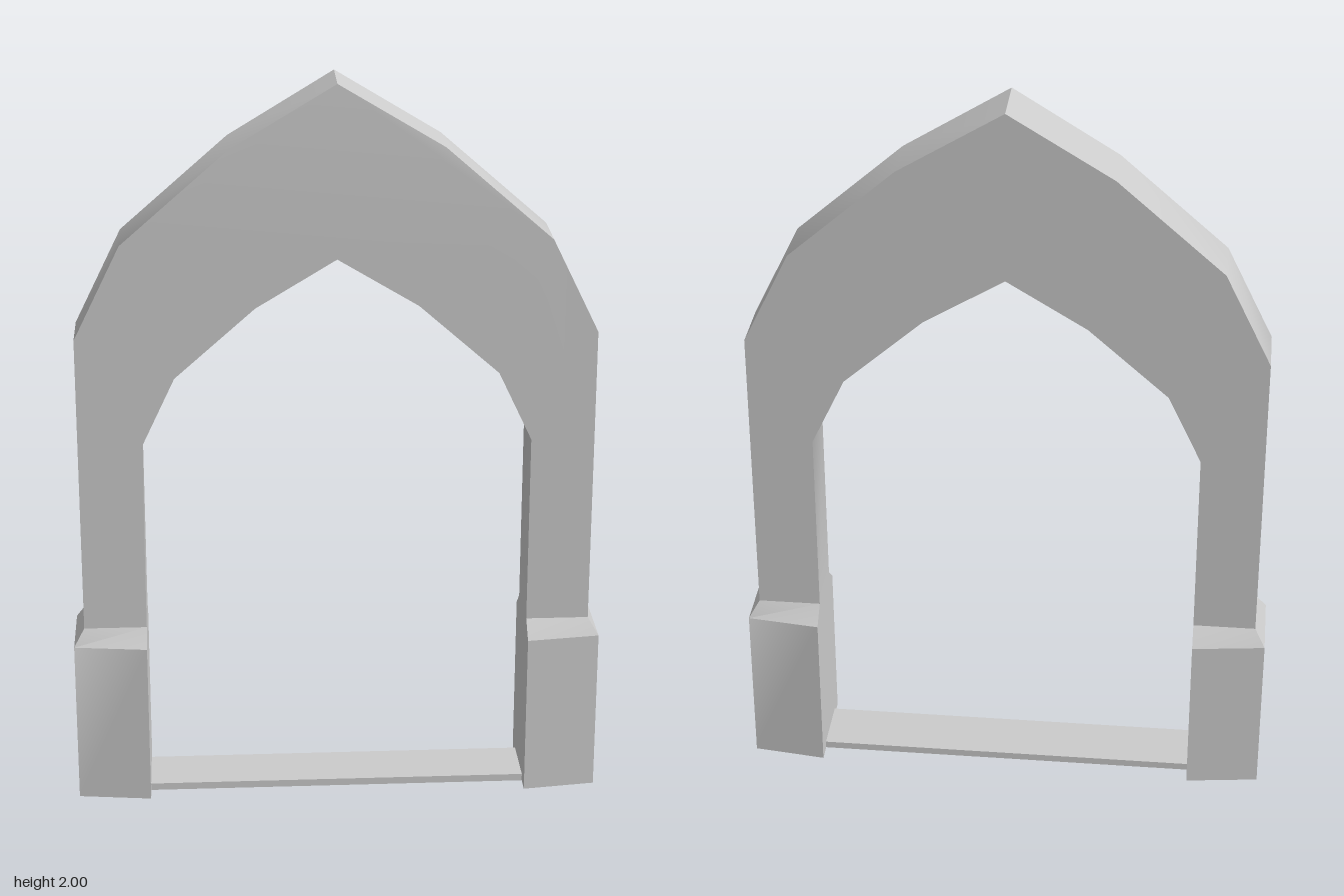
import * as THREE from 'three';
import { toCreasedNormals } from 'three/addons/utils/BufferGeometryUtils.js';

const material = new THREE.MeshStandardMaterial({ color: 0xcccccc });
const CREASE = Math.PI / 6;
const BACK = -0.082, FRONT = 0.078, MID = (BACK + FRONT) / 2;
const INNER = 0.52, OUTER = 0.69, PLINTH_TOP = 0.5;

function addPart(group, name, geometry) {
  const mesh = new THREE.Mesh(toCreasedNormals(geometry, CREASE), material);
  mesh.name = name;
  group.add(mesh);
  return mesh;
}

// Pointed arch with its two legs, cut from one outline
function archGeometry() {
  const outer = [[OUTER, PLINTH_TOP], [OUTER, 1.325], [0.565, 1.58], [0.28, 1.83]];
  const inner = [[INNER, PLINTH_TOP], [INNER, 1.025], [0.43, 1.215], [0.215, 1.405]];
  const mirror = (pts) => pts.map(([x, y]) => [-x, y]);
  const outline = [
    ...outer, [0, 2], ...mirror(outer).reverse(),
    ...mirror(inner), [0, 1.535], ...inner.slice().reverse(),
  ];
  const shape = new THREE.Shape(outline.map(([x, y]) => new THREE.Vector2(x, y)));
  const geo = new THREE.ExtrudeGeometry(shape, { depth: FRONT - BACK, bevelEnabled: false });
  geo.translate(0, 0, BACK);
  // The tip leans very slightly forward
  const p = geo.attributes.position;
  for (let i = 0; i < p.count; i++) {
    if (p.getY(i) > 1.99 && p.getZ(i) > 0) p.setZ(i, FRONT + 0.007);
  }
  return geo;
}

// Plinth: wedge-shaped block with a sloped shoulder, stacked from four-cornered rings
function plinthGeometry(side) {
  const levels = [ // height, outer x, half depth inside, half depth outside
    [0, 0.718, 0.13, 0.105],
    [0.455, 0.718, 0.13, 0.105],
    [PLINTH_TOP, OUTER, 0.08, 0.08],
  ];
  const positions = [], index = [];
  for (const [y, xo, zi, zo] of levels) {
    const ring = [[INNER, zi], [xo, zo], [xo, -zo], [INNER, -zi]];
    if (side < 0) ring.reverse();
    for (const [x, z] of ring) positions.push(side * x, y, MID + z);
  }
  for (let l = 0; l < levels.length - 1; l++) {
    for (let i = 0; i < 4; i++) {
      const a = l * 4 + i, b = l * 4 + (i + 1) % 4;
      index.push(a, b, b + 4, a, b + 4, a + 4);
    }
  }
  index.push(0, 2, 1, 0, 3, 2, 8, 9, 10, 8, 10, 11); // underside and top
  const geo = new THREE.BufferGeometry();
  geo.setAttribute('position', new THREE.Float32BufferAttribute(positions, 3));
  geo.setIndex(index);
  return geo;
}

export function createModel() {
  const group = new THREE.Group();
  group.name = 'pointedArchDoorway';

  addPart(group, 'arch', archGeometry());
  addPart(group, 'leftPlinth', plinthGeometry(1));
  addPart(group, 'rightPlinth', plinthGeometry(-1));

  // Thin threshold between the plinths
  const sill = addPart(group, 'sill', new THREE.BoxGeometry(INNER * 2, 0.02, FRONT - BACK));
  sill.position.set(0, 0.01, MID);

  return group;
}
